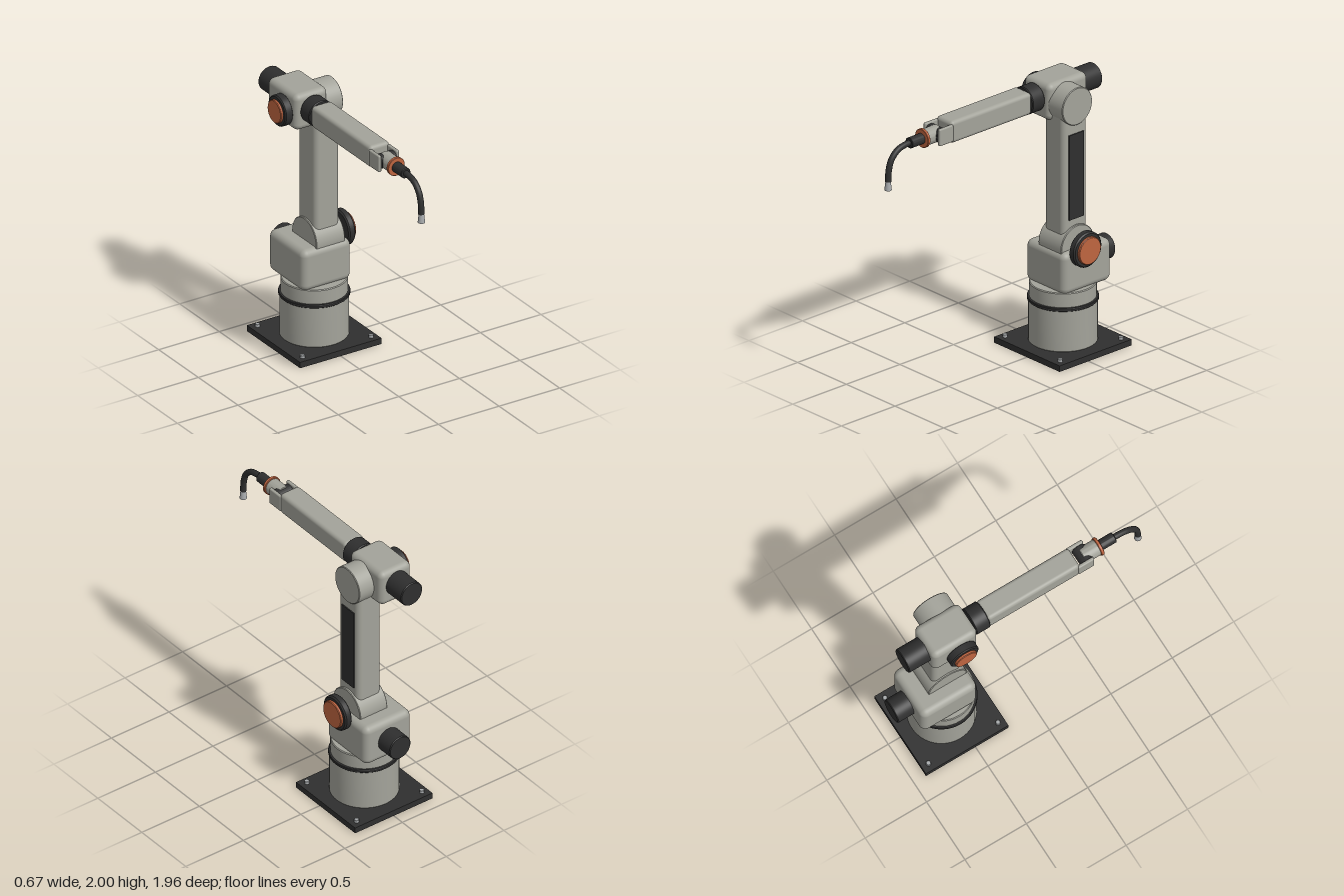
import * as THREE from 'three';
import { toCreasedNormals } from 'three/addons/utils/BufferGeometryUtils.js';
import { RoundedBoxGeometry } from 'three/addons/geometries/RoundedBoxGeometry.js';

const mat = (name, color) => {
  const m = new THREE.MeshStandardMaterial({ color });
  m.name = name;
  return m;
};

export function createModel() {
  const root = new THREE.Group();
  root.name = 'robotArm';
  const grey = mat('castGrey', 0xa3a39a);
  const dark = mat('darkGrey', 0x2f2f2f);
  const orange = mat('orange', 0xbf6540);
  const steel = mat('steel', 0xa8abad);
  const Z = -0.567; // vertical axis of the base
  const X = -0.115; // axis of the forearm
  const Y = 1.88;

  const add = (name, geo, material, x = 0, y = 0, z = 0) => {
    const m = new THREE.Mesh(geo, material);
    m.name = name;
    m.position.set(x, y, z);
    root.add(m);
    return m;
  };

  // Box given by its limits, with rounded edges
  const block = (name, material, [x0, x1], [y0, y1], [z0, z1], r) =>
    add(name, new RoundedBoxGeometry(x1 - x0, y1 - y0, z1 - z0, 4, r), material,
      (x0 + x1) / 2, (y0 + y1) / 2, (z0 + z1) / 2);

  // Round part from a to b along an axis, with chamfered rims; c is its centre
  const round = (name, material, axis, a, b, r, c, bevel = 0.006) => {
    const h = (b - a) / 2;
    const pts = [[0, -h], [r - bevel, -h], [r, -h + bevel], [r, h - bevel], [r - bevel, h], [0, h]];
    let geo = new THREE.LatheGeometry(pts.map(p => new THREE.Vector2(...p)), 48);
    if (axis === 'x') geo.rotateZ(-Math.PI / 2);
    if (axis === 'z') geo.rotateX(Math.PI / 2);
    geo = toCreasedNormals(geo, 0.5);
    const m = add(name, geo, material, ...c);
    m.position[axis] = (a + b) / 2;
    return m;
  };

  // Base
  add('basePlate', new THREE.BoxGeometry(0.672, 0.045, 0.672), dark, 0, 0.0225, Z);
  for (const sx of [-1, 1]) for (const sz of [-1, 1]) {
    round('anchorBolt', steel, 'y', 0.04, 0.067, 0.017, [sx * 0.283, 0, Z + sz * 0.283], 0.002);
  }
  round('basePedestal', grey, 'y', 0.045, 0.355, 0.242, [0, 0, Z], 0.004);
  round('bearingRing', dark, 'y', 0.352, 0.375, 0.25, [0, 0, Z], 0.004);
  round('turntable', grey, 'y', 0.373, 0.487, 0.235, [0, 0, Z], 0.006);

  // Shoulder
  block('shoulderHousing', grey, [-0.204, 0.202], [0.468, 0.785], [-0.846, -0.395], 0.05);
  round('shoulderMotor', dark, 'z', -0.977, -0.83, 0.092, [0, 0.625, 0]);
  round('shoulderHub', grey, 'x', -0.083, 0.153, 0.155, [0, 0.795, Z], 0.005);
  round('shoulderCover', dark, 'x', 0.203, 0.26, 0.131, [0, 0.795, Z], 0.01);
  round('shoulderCap', orange, 'x', 0.258, 0.282, 0.102, [0, 0.795, Z], 0.005);

  // Upper arm
  block('upperArm', grey, [-0.068, 0.136], [0.8, 1.85], [-0.676, -0.45], 0.04);
  add('armPanel', new THREE.BoxGeometry(0.009, 0.64, 0.138), dark, 0.14, 1.32, -0.564);

  // Elbow
  round('elbowHub', grey, 'x', -0.06, 0.149, 0.14, [0, 1.845, Z], 0.005);
  block('elbowHousing', grey, [-0.25, 0.023], [1.723, 2], [-0.786, -0.42], 0.045);
  round('elbowCover', dark, 'x', -0.31, -0.245, 0.114, [0, 1.845, Z], 0.008);
  round('elbowCap', orange, 'x', -0.331, -0.308, 0.086, [0, 1.845, Z], 0.005);
  round('elbowMotor', dark, 'z', -0.958, -0.77, 0.093, [X, Y, 0]);
  round('forearmCollar', dark, 'z', -0.413, -0.3, 0.102, [X, Y, 0]);

  // Forearm and wrist
  block('forearm', grey, [X - 0.083, X + 0.083], [1.8, 1.965], [-0.31, 0.441], 0.028);
  for (const s of [-1, 1]) {
    const c = X + s * 0.074;
    block('wristFork', grey, [c - 0.013, c + 0.013], [1.817, 1.944], [0.425, 0.555], 0.01);
  }
  round('wristJoint', dark, 'x', X - 0.062, X + 0.062, 0.053, [0, Y, 0.513], 0.003);
  round('wristBody', grey, 'z', 0.5, 0.627, 0.06, [X, Y, 0], 0.003);
  round('toolFlange', orange, 'z', 0.625, 0.648, 0.069, [X, Y, 0], 0.003);

  // Torch with curved neck
  round('torchHolder', dark, 'z', 0.645, 0.765, 0.039, [X, Y, 0], 0.004);
  const neck = new THREE.CatmullRomCurve3([
    [1.88, 0.74], [1.88, 0.79], [1.861, 0.868], [1.807, 0.927], [1.735, 0.953], [1.648, 0.96],
  ].map(([y, z]) => new THREE.Vector3(X, y, z)));
  add('torchNeck', new THREE.TubeGeometry(neck, 32, 0.022, 16), dark);
  add('torchNozzle', new THREE.CylinderGeometry(0.018, 0.026, 0.072, 24), steel, X, 1.621, 0.96);

  return root;
}
